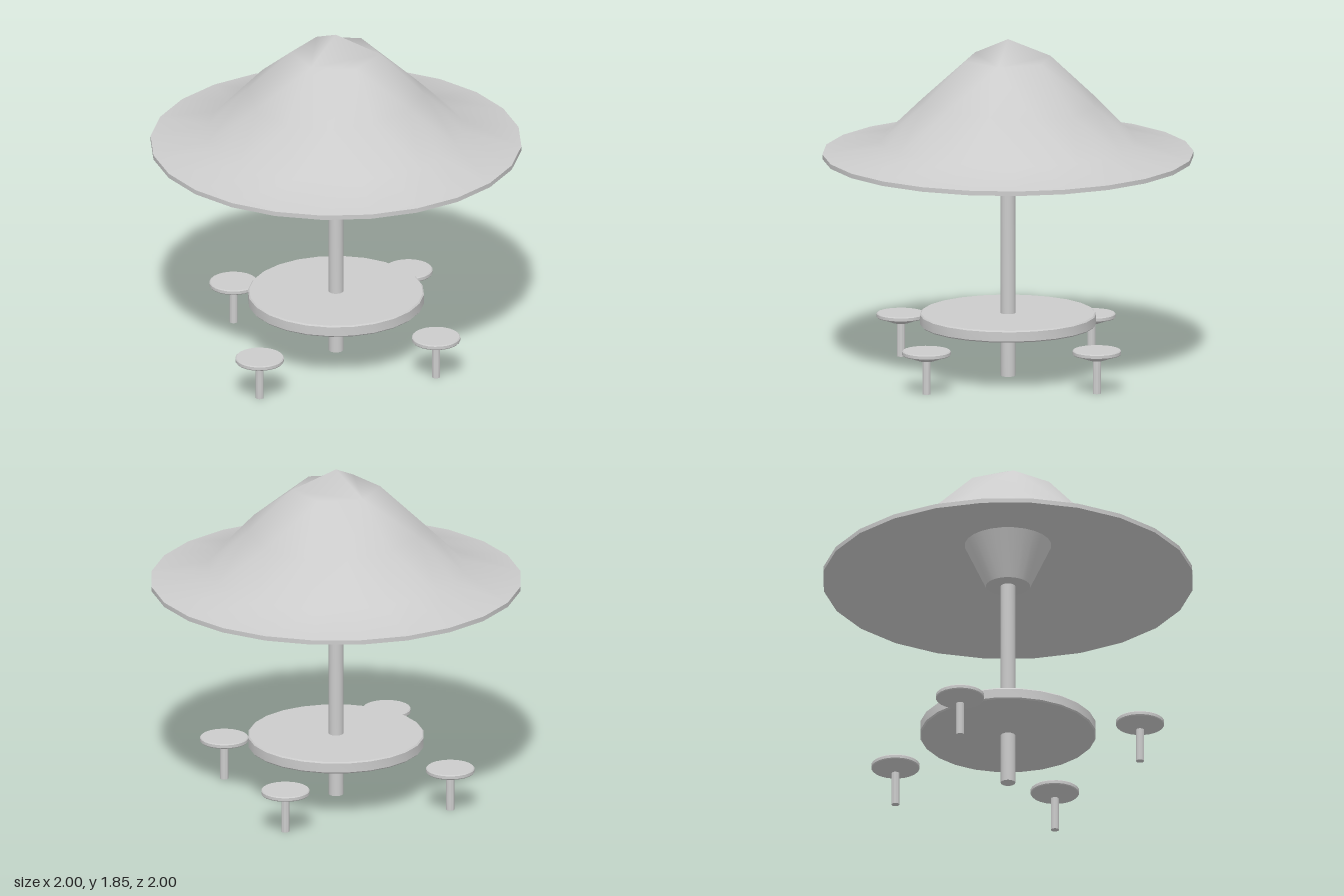
import * as THREE from 'three';
import { toCreasedNormals } from 'three/addons/utils/BufferGeometryUtils.js';

const grey = new THREE.MeshStandardMaterial({ color: 0xcccccc });

function part(name, geometry, parent) {
  const mesh = new THREE.Mesh(geometry, grey);
  mesh.name = name;
  parent.add(mesh);
  return mesh;
}

// Turned part from [radius, height] pairs, listed from the bottom up
function turned(profile, sides) {
  const points = profile.map(([r, y]) => new THREE.Vector2(r, y));
  return toCreasedNormals(new THREE.LatheGeometry(points, sides), 0.5);
}

// Roof skin: rings of 6, 12, 24 and 24 points below a three-sided peak
function roofGeometry() {
  const positions = [0, 1.85, 0];
  const index = [];
  const rings = [
    { n: 6, r: 0.24, y: 1.743, lift: 0 },
    { n: 12, r: 0.477, y: 1.487, lift: 0.04 },
    { n: 24, r: 0.69, y: 1.287, lift: 0.012 },
    { n: 24, r: 1, y: 1.225, lift: 0 },
  ];
  for (const ring of rings) {
    ring.start = positions.length / 3;
    for (let i = 0; i < ring.n; i++) {
      const a = Math.PI / 2 + (i / ring.n) * Math.PI * 2;
      const x = Math.cos(a), z = Math.sin(a);
      positions.push(ring.r * x, ring.y + ring.lift * x * x, ring.r * z);
    }
    ring.at = (i) => ring.start + (i % ring.n);
  }

  // Three-sided peak with small ledges between its corners
  const top = rings[0];
  for (let i = 0; i < 6; i += 2) {
    index.push(0, top.at(i + 2), top.at(i));
    index.push(top.at(i), top.at(i + 2), top.at(i + 1));
  }

  // Strips between the rings
  for (let k = 0; k < rings.length - 1; k++) {
    const u = rings[k], l = rings[k + 1];
    for (let i = 0; i < u.n; i++) {
      if (l.n === u.n) {
        index.push(u.at(i), l.at(i + 1), l.at(i));
        index.push(u.at(i), u.at(i + 1), l.at(i + 1));
      } else {
        const j = 2 * i;
        index.push(u.at(i), l.at(j + 1), l.at(j));
        index.push(u.at(i), u.at(i + 1), l.at(j + 1));
        index.push(u.at(i + 1), l.at(j + 2), l.at(j + 1));
      }
    }
  }

  const geometry = new THREE.BufferGeometry();
  geometry.setAttribute('position', new THREE.Float32BufferAttribute(positions, 3));
  geometry.setIndex(index);
  geometry.computeVertexNormals();
  return geometry;
}

export function createModel() {
  const model = new THREE.Group();
  model.name = 'shelterTable';

  // Canopy
  const canopy = new THREE.Group();
  canopy.name = 'canopy';
  model.add(canopy);
  part('roof', roofGeometry(), canopy);
  part('roofUnderside', turned([[0.23, 1.41], [1, 1.2], [1, 1.225]], 24), canopy);
  part('roofHub', turned([[0, 1.165], [0.12, 1.165], [0.235, 1.412]], 24), canopy);

  // Centre pole and table
  part('pole', turned([[0, 0], [0.04, 0], [0.04, 1.17]], 16), model);
  part('tableTop', turned([
    [0, 0.28], [0.468, 0.28], [0.475, 0.287], [0.475, 0.338], [0.468, 0.345], [0, 0.345],
  ], 24), model);

  // Stools around the table
  const seat = turned([
    [0, 0.185], [0.045, 0.185], [0.115, 0.211], [0.127, 0.213],
    [0.131, 0.218], [0.131, 0.234], [0.126, 0.239], [0, 0.239],
  ], 24);
  const leg = turned([[0, 0], [0.022, 0], [0.022, 0.19]], 12);
  for (const [x, z] of [[0.65, 0], [-0.665, 0], [0.02, 0.762], [0.02, -0.665]]) {
    const stool = new THREE.Group();
    stool.name = 'stool';
    stool.position.set(x, 0, z);
    part('seat', seat, stool);
    part('stoolLeg', leg, stool);
    model.add(stool);
  }
  return model;
}
